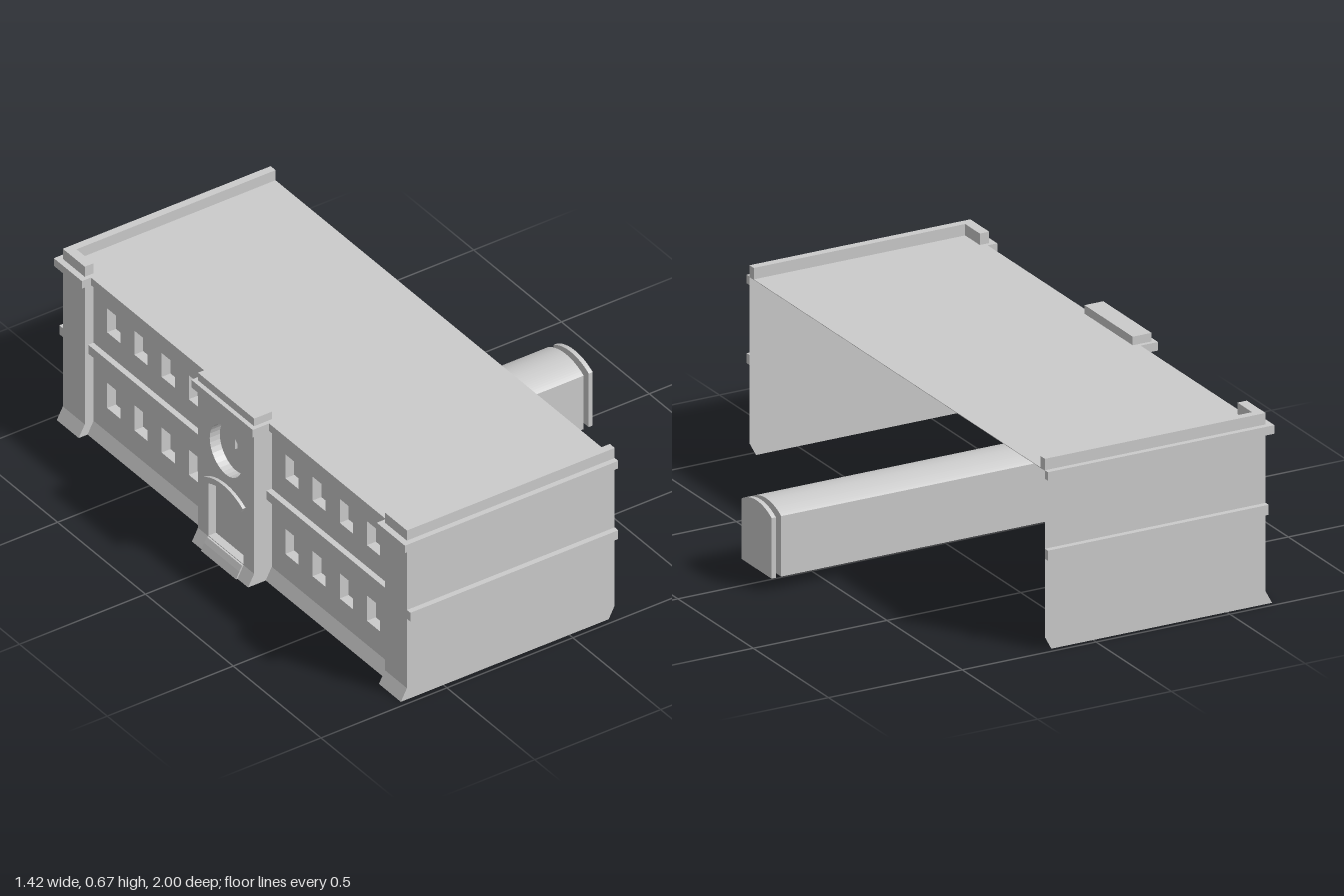
import * as THREE from 'three';

const MAT = new THREE.MeshStandardMaterial({ color: 0xcccccc, flatShading: true, side: THREE.DoubleSide });
const BASE = 0.045, ROOF = 0.63, FLARE = 0.024, BACK = 0.18;
const WALL_X = -0.61, CORNER_X = -0.645, BAY_X = -0.68;
const END = 0.98, CORNER_Z = 0.855, BAY_Z = 0.16;

export function createModel() {
  const model = new THREE.Group();

  const add = (name, geometry) => {
    const mesh = new THREE.Mesh(geometry, MAT);
    mesh.name = name;
    model.add(mesh);
    return mesh;
  };

  // Box given by its limits on each axis
  const box = (name, x0, x1, y0, y1, z0, z1) => {
    const g = new THREE.BoxGeometry(Math.abs(x1 - x0), y1 - y0, Math.abs(z1 - z0));
    return add(name, g.translate((x0 + x1) / 2, (y0 + y1) / 2, (z0 + z1) / 2));
  };

  const polygon = (pts) => new THREE.Shape(pts.map(([a, b]) => new THREE.Vector2(a, b)));
  const rect = (a0, b0, a1, b1) => polygon([[a0, b0], [a1, b0], [a1, b1], [a0, b1]]);

  // Turns a drawing in (z, y) to face -x at the given x
  const facing = (geometry, x) => geometry.rotateY(-Math.PI / 2).translate(x, 0, 0);
  const solid = (name, shape, x0, x1) => add(name, facing(
    new THREE.ExtrudeGeometry(shape, { depth: x1 - x0, bevelEnabled: false, curveSegments: 12 }), x1));

  // Wall sheet facing -x with openings and a flared foot
  const facade = (name, x, z0, z1, holes = []) => {
    const shape = rect(z0, BASE, z1, ROOF);
    shape.holes.push(...holes);
    add(name, facing(new THREE.ShapeGeometry(shape, 16), x));
    const foot = new THREE.PlaneGeometry(z1 - z0, BASE);
    const p = foot.attributes.position;
    for (let i = 0; i < p.count; i++) if (p.getY(i) < 0) p.setZ(i, FLARE);
    add(name + 'Foot', facing(foot.translate((z0 + z1) / 2, BASE / 2, 0), x));
  };

  // Wall sheet facing +-z whose foot leans forward with the facade
  const sideSheet = (name, x0, x1, z) => {
    const shape = polygon([[x0 - FLARE, 0], [x1 - FLARE, 0], [x1, BASE], [x1, ROOF], [x0, ROOF], [x0, BASE]]);
    add(name, new THREE.ShapeGeometry(shape).translate(0, 0, z));
  };

  // Reveal and back pane of an opening set into a facade
  const recess = (name, shape, x, depth) => {
    const pts = shape.getPoints(16);
    const pos = [], index = [];
    pts.forEach((p, i) => {
      pos.push(x, p.y, p.x, x + depth, p.y, p.x);
      const a = 2 * i, b = 2 * ((i + 1) % pts.length);
      index.push(a, b, a + 1, b, b + 1, a + 1);
    });
    const g = new THREE.BufferGeometry();
    g.setAttribute('position', new THREE.Float32BufferAttribute(pos, 3));
    g.setIndex(index);
    g.computeVertexNormals();
    add(name + 'Reveal', g);
    add(name + 'Pane', facing(new THREE.ShapeGeometry(shape, 16), x + depth));
  };

  // Flat roof
  box('roof', WALL_X, BACK, ROOF - 0.002, ROOF, -END, END);

  for (const s of [1, -1]) {
    // Main facade wing with two rows of windows
    const windows = [];
    for (const z of [0.275, 0.43, 0.585, 0.74]) {
      for (const [y0, y1] of [[0.14, 0.24], [0.44, 0.535]]) {
        windows.push(rect(s * z - 0.0375, y0, s * z + 0.0375, y1));
      }
    }
    const [w0, w1] = s > 0 ? [BAY_Z, CORNER_Z] : [-CORNER_Z, -BAY_Z];
    facade('wingWall', WALL_X, w0, w1, windows);
    windows.forEach((w) => recess('window', w, WALL_X, 0.035));
    box('wingCornice', -0.631, WALL_X, 0.6, ROOF, s * BAY_Z, s * CORNER_Z);
    box('wingBelt', -0.631, WALL_X, 0.32, 0.355, s * 0.15, s * CORNER_Z);

    // Corner pilaster and end wall
    const [c0, c1] = s > 0 ? [CORNER_Z, END] : [-END, -CORNER_Z];
    facade('cornerPilaster', CORNER_X, c0, c1);
    sideSheet('cornerReturn', CORNER_X, WALL_X, s * CORNER_Z);
    sideSheet('endWall', CORNER_X, BACK, s * END);

    // Trim around the end
    box('endCornice', CORNER_X, BACK, 0.6, ROOF, s * END, s);
    box('endBelt', CORNER_X, BACK, 0.32, 0.355, s * END, s);
    box('cornerCornice', -0.667, CORNER_X, 0.6, ROOF, s * 0.84, s);
    box('cornerCorniceReturn', CORNER_X, WALL_X, 0.6, ROOF, s * 0.84, s * CORNER_Z);

    // Parapet
    box('endParapet', WALL_X, BACK, ROOF, 0.67, s * 0.952, s * END);
    box('cornerParapet', CORNER_X, WALL_X, ROOF, 0.67, s * CORNER_Z, s * END);

    // Sides of the entrance bay
    sideSheet('bayReturn', BAY_X, WALL_X, s * BAY_Z);
    box('bayCorniceReturn', BAY_X, WALL_X, 0.6, ROOF, s * BAY_Z, s * 0.175);
  }

  // Arched doorway outline, also the section of the long passage
  const R = 0.193, ARCH_Y = 0.095, HALF = 0.545, UP = Math.PI / 2;
  const arch = new THREE.Shape();
  arch.moveTo(-0.1, 0.048).lineTo(0.1, 0.048).lineTo(0.1, 0.26);
  arch.absarc(0, ARCH_Y, R, UP - HALF, UP + HALF, false);
  arch.closePath();

  const clock = new THREE.Shape();
  clock.absarc(0, 0.44, 0.093, 0, Math.PI * 2, false);

  // Entrance bay
  facade('bayWall', BAY_X, -BAY_Z, BAY_Z, [arch, clock]);
  recess('clock', clock, BAY_X, 0.04);
  box('clockHand', -0.65, -0.64, 0.44, 0.505, -0.008, 0.008);
  box('bayCornice', -0.696, BAY_X, 0.6, ROOF, -0.175, 0.175);
  box('bayParapet', BAY_X, WALL_X, ROOF, 0.66, -BAY_Z, BAY_Z);
  recess('door', arch, BAY_X, 0.03);

  // Curved band over the door
  const band = new THREE.Shape();
  band.absarc(0, ARCH_Y, 0.215, UP - HALF, UP + HALF, false);
  band.absarc(0, ARCH_Y, R, UP + HALF, UP - HALF, true);
  solid('doorArch', band, -0.692, BAY_X);

  // Doorstep with a leaning front
  const step = polygon([[-0.71, 0], [-0.65, 0], [-0.65, BASE], [-0.686, BASE], [-0.697, 0.026]]);
  add('doorstep', new THREE.ExtrudeGeometry(step, { depth: 0.2, bevelEnabled: false }).translate(0, 0, -0.1));

  // Passage running out through the open back, and its end plate
  solid('passage', arch, -0.649, 0.67);
  solid('passageEndPlate', arch, 0.69, 0.706);

  return model;
}
